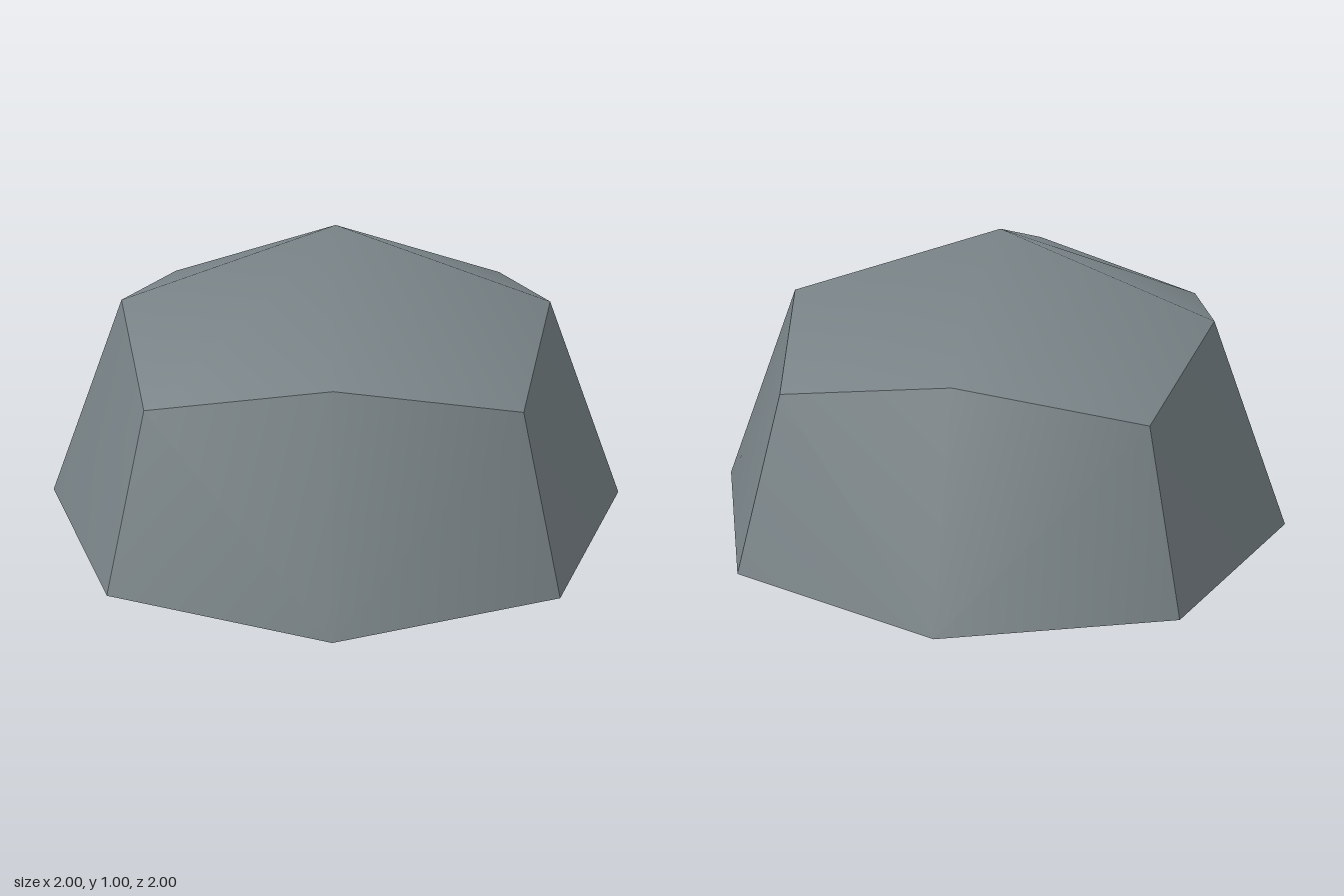
import * as THREE from 'three';

// Half of a rounded block: a 2 x 1 x 2 box grid pulled in at its edges and corners
function domeGeometry() {
  const geo = new THREE.BoxGeometry(2, 1, 2, 2, 1, 2).translate(0, 0.5, 0);
  const pos = geo.attributes.position;
  const reach = [0, 1, 0.727, 0.597]; // by number of non-zero coordinates
  const p = new THREE.Vector3();
  for (let i = 0; i < pos.count; i++) {
    p.fromBufferAttribute(pos, i);
    const n = p.toArray().filter((v) => Math.abs(v) > 0.01).length;
    p.multiplyScalar(reach[n]);
    pos.setXYZ(i, p.x, p.y, p.z);
  }

  // Split every quad along its shorter diagonal so the faces bulge outward
  const at = (i) => new THREE.Vector3().fromBufferAttribute(pos, i);
  const old = geo.index.array;
  const index = [];
  for (let i = 0; i < old.length; i += 6) {
    const a = old[i], b = old[i + 1], c = old[i + 4], d = old[i + 5];
    if (at(a).distanceTo(at(c)) < at(b).distanceTo(at(d))) index.push(a, b, c, a, c, d);
    else index.push(a, b, d, b, c, d);
  }
  geo.setIndex(index);
  geo.clearGroups();
  geo.computeVertexNormals(); // smooth within each side, sharp between sides
  return geo;
}

export function createModel() {
  const group = new THREE.Group();
  group.name = 'rock';
  const stone = new THREE.MeshStandardMaterial({ color: 0x788286 });
  stone.name = 'slate grey';
  const body = new THREE.Mesh(domeGeometry(), stone);
  body.name = 'rockBody';
  group.add(body);
  return group;
}
